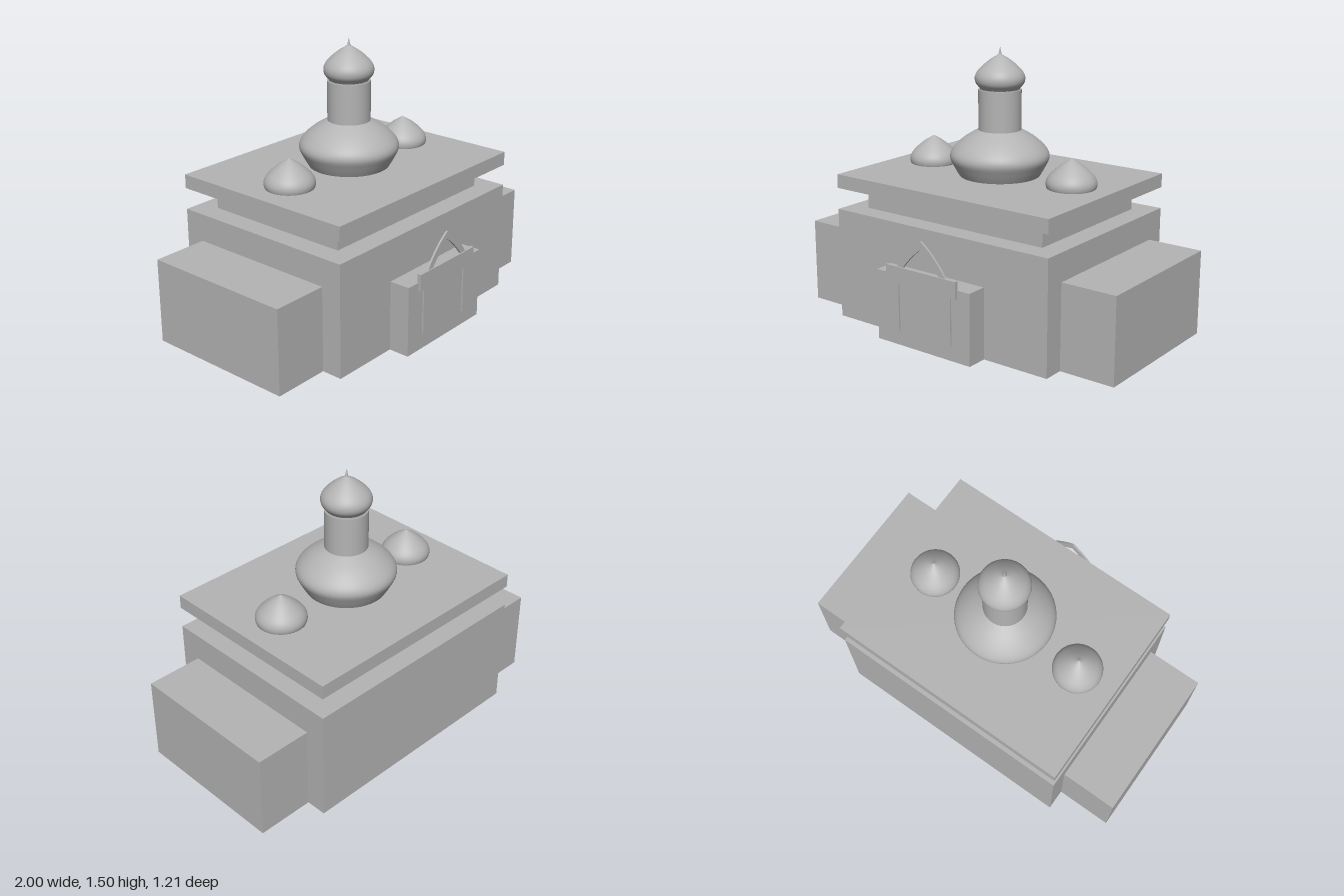
import * as THREE from 'three';

const stone = new THREE.MeshStandardMaterial({ color: 0xb4b4b4 });
stone.name = 'grey stone';

export function createModel() {
  const group = new THREE.Group();
  const axisZ = -0.066; // centre line of hall, wings and domes

  const add = (name, geometry, x = 0, y = 0, z = 0) => {
    const mesh = new THREE.Mesh(geometry, stone);
    mesh.name = name;
    mesh.position.set(x, y, z);
    group.add(mesh);
    return mesh;
  };
  // Box given by its limits on each axis
  const block = (name, x0, x1, y0, y1, z0, z1) =>
    add(name, new THREE.BoxGeometry(x1 - x0, y1 - y0, z1 - z0),
      (x0 + x1) / 2, (y0 + y1) / 2, (z0 + z1) / 2);
  // Smooth turned body from a few profile points [radius, height]
  const turned = (points, steps = 24) => {
    const curve = new THREE.SplineCurve(points.map(p => new THREE.Vector2(...p)));
    const profile = curve.getPoints(steps).map(p => p.setX(Math.max(0, p.x)));
    return new THREE.LatheGeometry(profile, 48);
  };

  // Stacked masses of the building
  block('mainHall', -0.69, 0.69, 0, 0.616, -0.603, 0.471);
  block('upperTier', -0.575, 0.575, 0.616, 0.714, -0.488, 0.356);
  block('roofSlab', -0.69, 0.69, 0.734, 0.81, -0.603, 0.471);
  for (const [name, s] of [['leftWing', 1], ['rightWing', -1]])
    block(name, Math.min(s * 0.69, s), Math.max(s * 0.69, s), 0, 0.464, -0.491, 0.356);

  // Entrance porch with a plain panel
  block('porch', -0.306, 0.306, 0, 0.386, 0.471, 0.587);
  block('entrancePanel', -0.228, 0.228, 0.342, 0.434, 0.581, 0.603);

  // Pointed arch frame around the doorway
  const arch = new THREE.Shape();
  arch.moveTo(-0.19, 0.08);
  arch.lineTo(-0.19, 0.385);
  arch.quadraticCurveTo(-0.105, 0.53, 0, 0.597);
  arch.quadraticCurveTo(0.105, 0.53, 0.19, 0.385);
  arch.lineTo(0.19, 0.08);
  arch.lineTo(0.152, 0.08);
  arch.lineTo(0.152, 0.385);
  arch.quadraticCurveTo(0.085, 0.49, 0, 0.552);
  arch.quadraticCurveTo(-0.085, 0.49, -0.152, 0.385);
  arch.lineTo(-0.152, 0.08);
  arch.closePath();
  add('doorArch', new THREE.ExtrudeGeometry(arch,
    { depth: 0.011, bevelEnabled: false, curveSegments: 10 }), 0, 0, 0.585);

  // Central dome, drum and onion cap
  add('mainDome', turned([[0.205, 0.79], [0.221, 0.815], [0.246, 0.86], [0.267, 0.91],
    [0.25, 0.956], [0.19, 1.012], [0.113, 1.058]]), 0, 0, axisZ);
  add('drum', new THREE.CylinderGeometry(0.115, 0.115, 0.22, 48), 0, 1.163, axisZ);

  const onion = turned([[0.098, -0.067], [0.11, -0.05], [0.129, -0.025], [0.133, 0.005],
    [0.12, 0.035], [0.091, 0.066], [0.052, 0.098], [0.016, 0.12], [0, 0.13]], 32);
  add('topOnionDome', onion, 0, 1.333, axisZ);
  add('dropCollar', new THREE.CylinderGeometry(0.108, 0.108, 0.01, 48), 0, 1.271, axisZ);
  add('spire', new THREE.ConeGeometry(0.011, 0.05, 16), 0, 1.473, axisZ);

  // Side domes rising from the roof
  for (const [name, s] of [['leftDome', 1], ['rightDome', -1]])
    add(name, onion, s * 0.461, 0.834, axisZ);

  return group;
}
